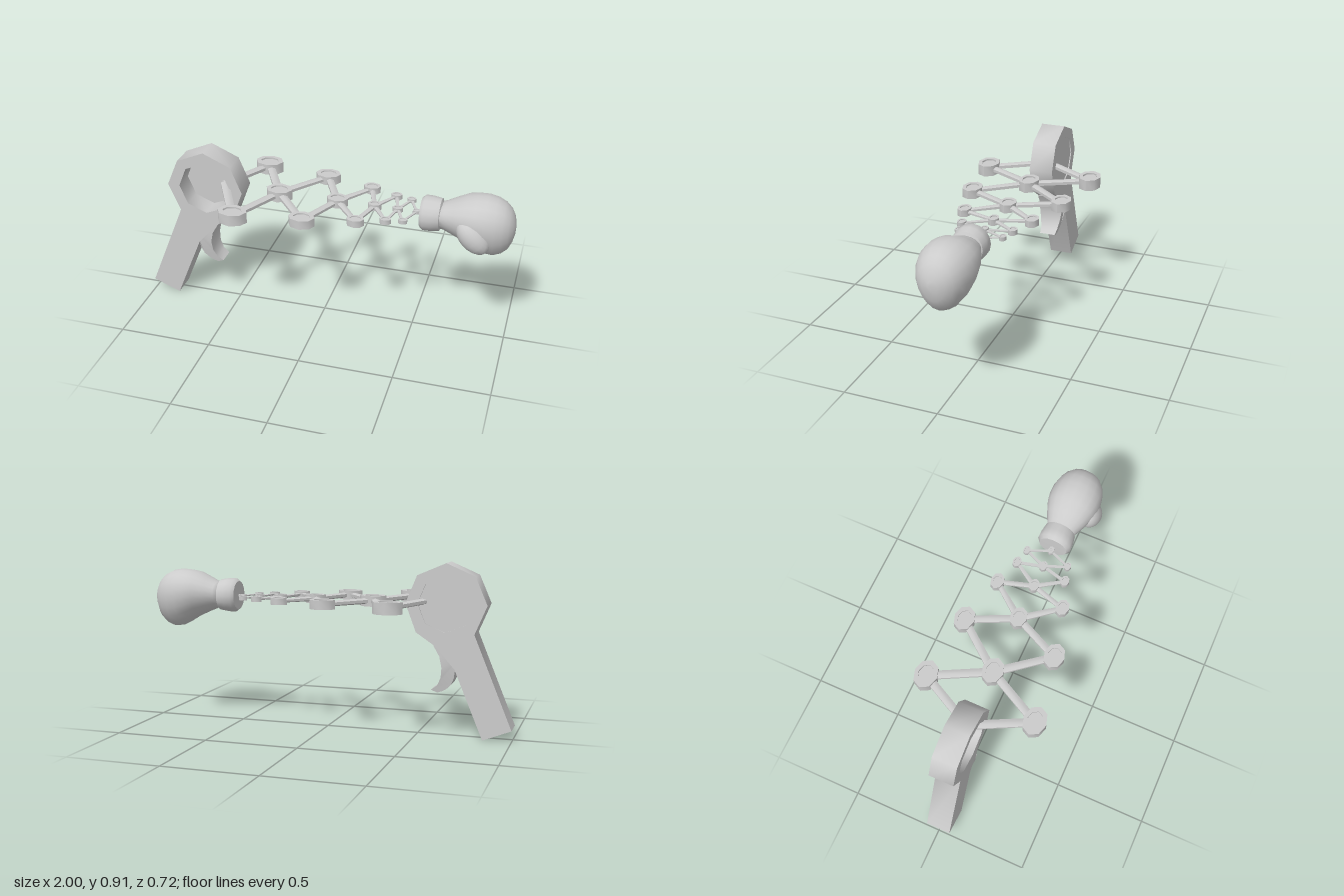
import * as THREE from 'three';
import { toCreasedNormals } from 'three/addons/utils/BufferGeometryUtils.js';

const material = new THREE.MeshStandardMaterial({ color: 0xcccccc });
const V = (x, y, z) => new THREE.Vector3(x, y, z);

function add(parent, name, geometry) {
  const mesh = new THREE.Mesh(geometry, material);
  mesh.name = name;
  parent.add(mesh);
  return mesh;
}

// Slab of the given half depth, centred on z = 0
function slab(shape, half) {
  const g = new THREE.ExtrudeGeometry(shape, { depth: half * 2, bevelEnabled: false, curveSegments: 5 });
  return g.translate(0, 0, -half);
}

const octagon = (cx, cy, r) => Array.from({ length: 8 }, (_, i) =>
  new THREE.Vector2(cx + r * Math.cos(i * Math.PI / 4), cy + r * Math.sin(i * Math.PI / 4)));

// Hexagonal bar between two points
function bar(parent, name, a, b, r1, r2) {
  const g = new THREE.CylinderGeometry(r2, r1, a.distanceTo(b), 6).rotateX(Math.PI / 2).scale(1, 0.65, 1);
  const mesh = add(parent, name, toCreasedNormals(g, 1.1));
  mesh.position.copy(a).lerp(b, 0.5);
  mesh.lookAt(b);
}

// Eight-sided pivot with recessed top and bottom
function pivot(parent, name, p, r, h) {
  const profile = [[0, -0.7 * h], [0.65 * r, -0.7 * h], [0.65 * r, -h], [r, -h],
    [r, h], [0.65 * r, h], [0.65 * r, 0.7 * h], [0, 0.7 * h]].map(q => new THREE.Vector2(...q));
  const g = new THREE.LatheGeometry(profile, 8).scale(1.15, 1, 0.9);
  add(parent, name, toCreasedNormals(g, 0.9)).position.copy(p);
}

// Smooth closed skin through oval sections [x, bottom, top, half width]
function loft(sections, sides) {
  const pos = [], index = [];
  for (const [x, lo, hi, w] of sections) {
    for (let j = 0; j < sides; j++) {
      const a = j / sides * Math.PI * 2, s = Math.sin(a);
      pos.push(x, (lo + hi) / 2 + s * (hi - lo) / 2, Math.cos(a) * w * (1 + 0.14 * s));
    }
  }
  for (let i = 0; i < sections.length - 1; i++) {
    for (let j = 0; j < sides; j++) {
      const k = (j + 1) % sides, a = i * sides + j, b = i * sides + k;
      index.push(a, a + sides, b, b, a + sides, b + sides);
    }
  }
  // End caps
  const last = (sections.length - 1) * sides;
  for (let j = 1; j < sides - 1; j++) index.push(0, j, j + 1, last, last + j + 1, last + j);
  const g = new THREE.BufferGeometry();
  g.setAttribute('position', new THREE.Float32BufferAttribute(pos, 3));
  g.setIndex(index);
  g.computeVertexNormals();
  return g;
}

function createHandle() {
  const group = new THREE.Group();
  group.name = 'handle';
  // Octagonal ring flowing into the grip
  const outline = [[-0.65, 0.91], [-0.8, 0.845], [-0.863, 0.7], [-0.8, 0.55], [-1, 0.065],
    [-0.852, 0.005], [-0.702, 0.365], [-0.595, 0.485], [-0.497, 0.55], [-0.44, 0.7], [-0.5, 0.845]];
  const shape = new THREE.Shape(outline.map(p => new THREE.Vector2(...p)));
  shape.holes.push(new THREE.Path(octagon(-0.65, 0.7, 0.147)));
  add(group, 'ringAndGrip', toCreasedNormals(slab(shape, 0.067), 0.9));

  // Panel closing the back of the ring
  const panel = slab(new THREE.Shape(octagon(-0.65, 0.7, 0.148)), 0.006);
  add(group, 'backPanel', panel).position.z = -0.055;

  // Curved trigger, narrowing to the tip
  const t = new THREE.Shape();
  t.moveTo(-0.72, 0.42);
  t.lineTo(-0.704, 0.36);
  t.bezierCurveTo(-0.7, 0.28, -0.66, 0.25, -0.61, 0.236);
  t.lineTo(-0.576, 0.25);
  t.bezierCurveTo(-0.64, 0.27, -0.66, 0.4, -0.59, 0.485);
  t.lineTo(-0.64, 0.52);
  const trigger = slab(t, 0.066);
  const p = trigger.attributes.position;
  for (let i = 0; i < p.count; i++) {
    p.setZ(i, p.getZ(i) * THREE.MathUtils.mapLinear(Math.min(p.getY(i), 0.36), 0.236, 0.36, 0.65, 1));
  }
  add(group, 'trigger', toCreasedNormals(trigger, 0.8));
  return group;
}

function createScissorArm() {
  const group = new THREE.Group();
  group.name = 'scissorArm';
  // Each stage: outer pivot x, z, radius; middle pivot x, radius; half height
  const stages = [
    [-0.405, 0.3, 0.068, -0.25, 0.062, 0.03],
    [-0.05, 0.252, 0.06, 0.07, 0.05, 0.024],
    [0.213, 0.185, 0.04, 0.27, 0.031, 0.018],
    [0.358, 0.137, 0.026, 0.393, 0.024, 0.013],
    [0.443, 0.117, 0.021, 0.492, 0.018, 0.01],
  ];
  let from = V(-0.56, 0.712, 0), r = 0.025;
  for (const [ox, oz, or, mx, mr, h] of stages) {
    const middle = V(mx, 0.7, 0), next = Math.max(0.0075, or * 0.36);
    for (const side of [-1, 1]) {
      const outer = V(ox, 0.7, oz * side);
      bar(group, 'link', from, outer, r, next);
      bar(group, 'link', outer, middle, next, next);
      pivot(group, 'outerPivot', outer, or, h);
    }
    pivot(group, 'middlePivot', middle, mr, h * 0.92);
    from = middle;
    r = next;
  }
  bar(group, 'gloveRod', from, V(0.54, 0.7, 0), 0.014, 0.014);
  return group;
}

function createGlove() {
  const group = new THREE.Group();
  group.name = 'boxingGlove';
  // Cuff
  const profile = [[0, 0.515], [0.078, 0.517], [0.093, 0.535], [0.092, 0.575], [0.085, 0.618], [0.06, 0.63]]
    .map(p => new THREE.Vector2(...p));
  const cuff = new THREE.LatheGeometry(profile, 16).rotateZ(-Math.PI / 2);
  add(group, 'cuff', toCreasedNormals(cuff, 0.8)).position.y = 0.703;

  // Fist, bulging down where the fingers curl under
  add(group, 'fist', loft([
    [0.6, 0.635, 0.765, 0.07], [0.64, 0.628, 0.775, 0.085], [0.69, 0.608, 0.8, 0.108],
    [0.75, 0.58, 0.828, 0.13], [0.8, 0.55, 0.838, 0.138], [0.85, 0.525, 0.842, 0.138],
    [0.9, 0.519, 0.834, 0.128], [0.94, 0.535, 0.815, 0.11], [0.97, 0.562, 0.787, 0.088],
    [0.99, 0.605, 0.75, 0.058], [1, 0.65, 0.71, 0.025],
  ], 20));

  // Thumb on the front side
  const thumb = add(group, 'thumb', new THREE.SphereGeometry(1, 18, 12));
  thumb.scale.set(0.105, 0.066, 0.06);
  thumb.rotation.z = -0.8;
  thumb.position.set(0.8, 0.655, 0.105);
  return group;
}

export function createModel() {
  const model = new THREE.Group();
  model.name = 'scissorArmBoxingGlove';
  model.add(createHandle(), createScissorArm(), createGlove());
  return model;
}
